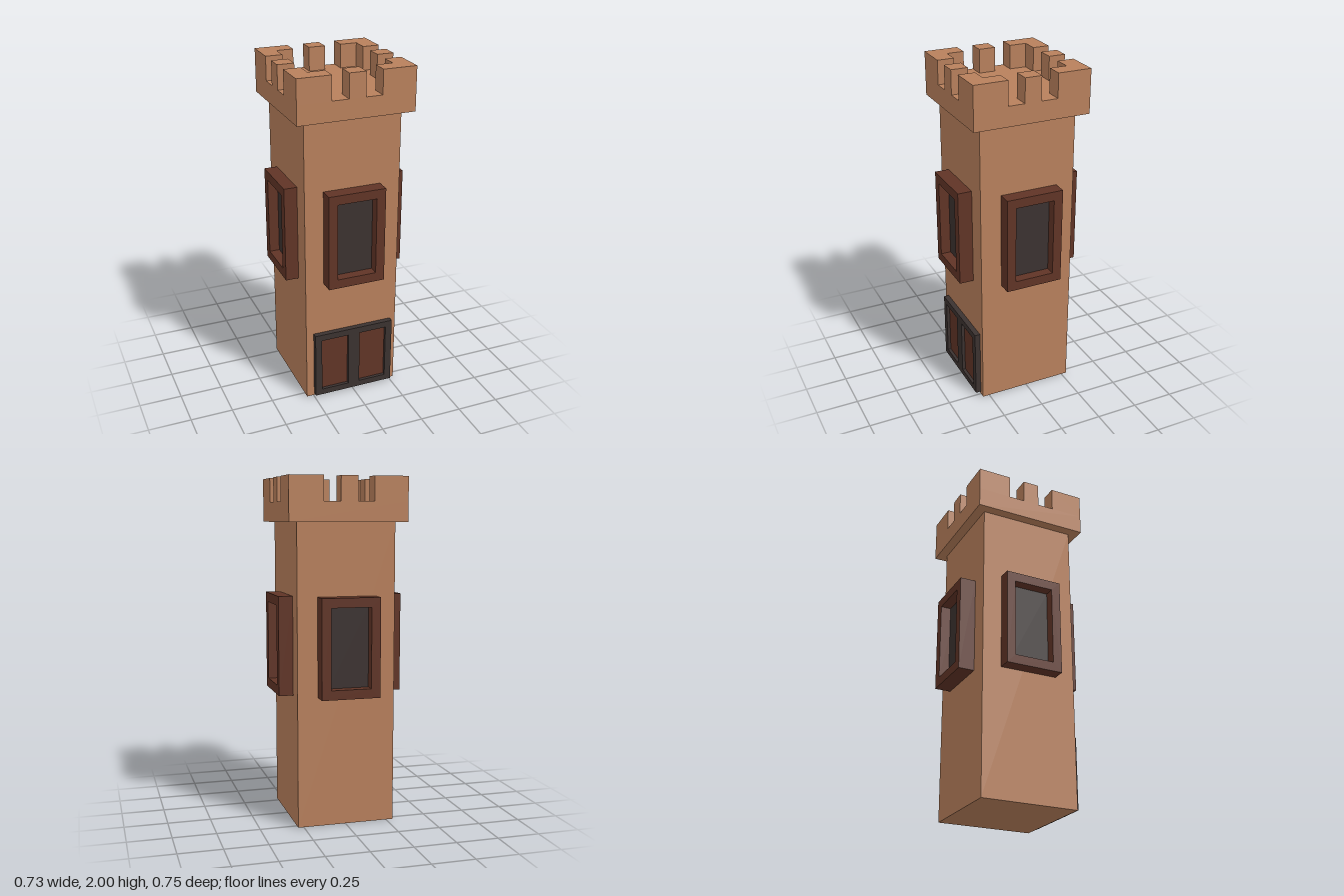
import * as THREE from 'three';

const material = (color) => new THREE.MeshStandardMaterial({ color, flatShading: true });

export function createModel() {
  const stone = material(0xb8805c);
  const wood = material(0x603426);
  const dark = material(0x3b3230);

  const model = new THREE.Group();
  model.name = 'tower';
  const tower = new THREE.Group();
  tower.name = 'towerBody';
  tower.position.set(-0.004, 0, 0.004);
  model.add(tower);

  const add = (parent, name, geometry, mat, x = 0, y = 0, z = 0) => {
    const mesh = new THREE.Mesh(geometry, mat);
    mesh.name = name;
    mesh.position.set(x, y, z);
    parent.add(mesh);
    return mesh;
  };
  const box = (parent, name, w, h, d, mat, x, y, z) =>
    add(parent, name, new THREE.BoxGeometry(w, h, d), mat, x, y, z);

  const polygon = (points) => new THREE.Shape(points.map(([x, y]) => new THREE.Vector2(x, y)));
  const rect = (x, y, w, h) => polygon([
    [x - w / 2, y - h / 2], [x + w / 2, y - h / 2], [x + w / 2, y + h / 2], [x - w / 2, y + h / 2],
  ]);
  const extrude = (shape, depth) => new THREE.ExtrudeGeometry(shape, { depth, bevelEnabled: false });

  // Shaft and overhanging parapet
  const wall = 0.287, rim = 0.344, floorY = 1.86, top = 2;
  box(tower, 'shaft', wall * 2, 1.745, wall * 2, stone, 0, 1.745 / 2, 0);
  box(tower, 'parapet', rim * 2, floorY - 1.745, rim * 2, stone, 0, (floorY + 1.745) / 2, 0);

  // Battlements: an L-shaped corner and a middle block on each side
  const inner = 0.146, thick = 0.098;
  const corner = extrude(polygon([
    [rim, rim], [inner, rim], [inner, rim - thick],
    [rim - thick, rim - thick], [rim - thick, inner], [rim, inner],
  ]), top - floorY).rotateX(-Math.PI / 2);
  for (let i = 0; i < 4; i++) {
    const side = new THREE.Group();
    side.name = 'battlementSide';
    side.rotation.y = i * Math.PI / 2;
    add(side, 'cornerMerlon', corner, stone, 0, floorY, 0);
    box(side, 'middleMerlon', thick, top - floorY, thick, stone, 0, (floorY + top) / 2, rim - thick / 2);
    tower.add(side);
  }

  // One framed window per wall: [name, turn, sideways shift, outer face distance]
  const windows = [
    ['frontWindow', 0, -0.0045, 0.371],
    ['leftWindow', Math.PI / 2, 0.0085, 0.37],
    ['backWindow', Math.PI, 0.0025, 0.381],
    ['rightWindow', -Math.PI / 2, -0.002, 0.364],
  ];
  const frameShape = rect(0, 0, 0.343, 0.573);
  frameShape.holes.push(rect(0, 0, 0.235, 0.463));
  for (const [name, turn, shift, face] of windows) {
    const group = new THREE.Group();
    group.name = name;
    group.rotation.y = turn;
    add(group, 'windowFrame', extrude(frameShape, face - wall), wood, shift, 1.043, wall);
    const paneDepth = face - 0.06 - wall;
    box(group, 'windowPane', 0.235, 0.463, paneDepth, dark, shift, 1.043, wall + paneDepth / 2);
    tower.add(group);
  }

  // Double door with two recessed panels
  const door = new THREE.Group();
  door.name = 'door';
  door.position.set(0.0055, 0.2235, wall);
  const doorShape = rect(0, 0, 0.493, 0.417);
  for (const s of [-1, 1]) {
    doorShape.holes.push(rect(s * 0.121, -0.001, 0.17, 0.342));
    box(door, 'doorPanel', 0.17, 0.342, 0.013, wood, s * 0.121, -0.001, 0.0065);
  }
  add(door, 'doorFrame', extrude(doorShape, 0.032), dark);
  tower.add(door);

  return model;
}
